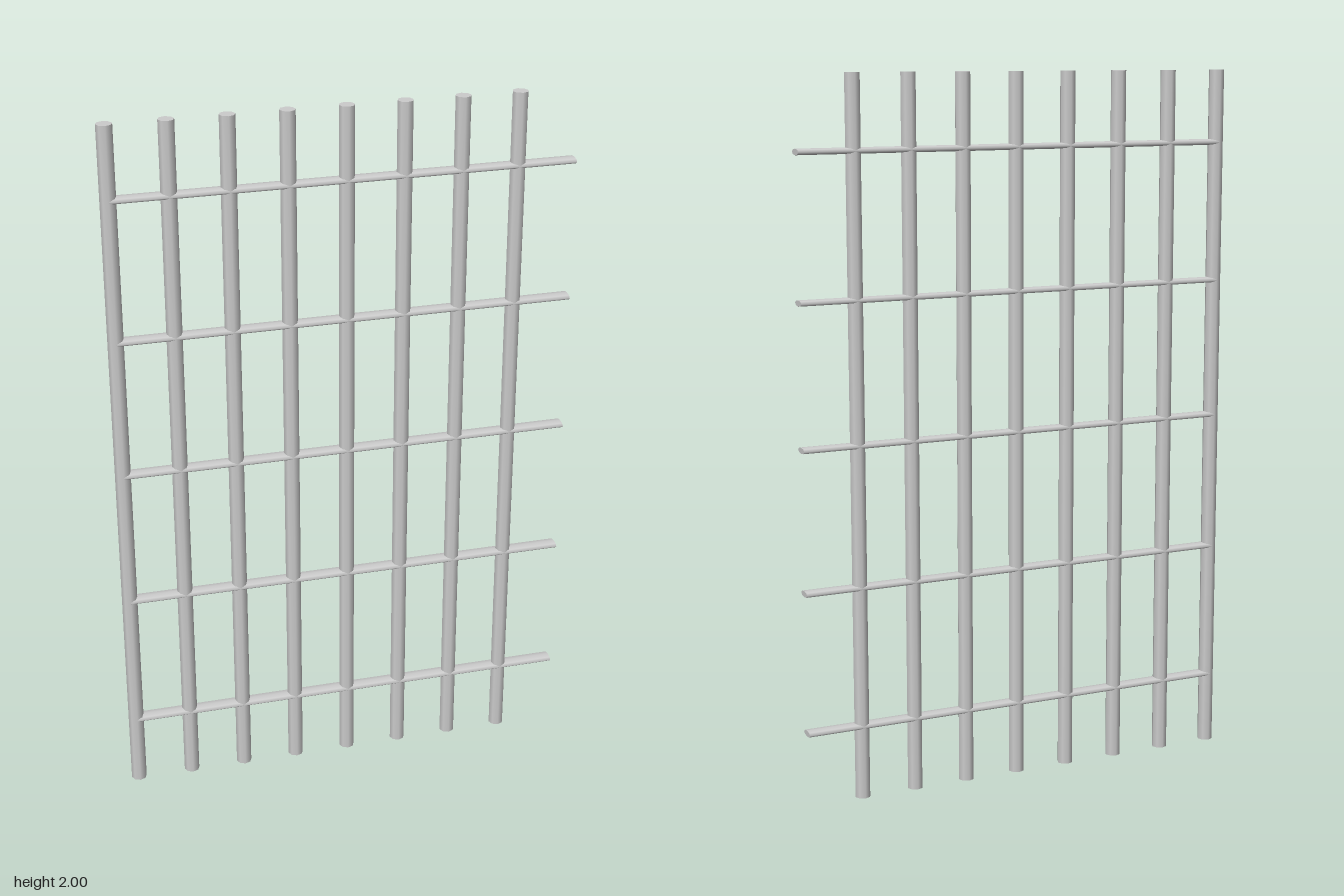
import * as THREE from 'three';

export function createModel() {
  const group = new THREE.Group();
  group.name = 'barredGrate';
  const material = new THREE.MeshStandardMaterial({ color: 0xcccccc });

  // Upright round bars, evenly spaced from the left end
  const barGeometry = new THREE.CylinderGeometry(0.022, 0.022, 2, 8);
  for (let i = 0; i < 8; i++) {
    const bar = new THREE.Mesh(barGeometry, material);
    bar.name = `verticalBar${i + 1}`;
    bar.position.set(-0.627 + i * 0.159, 1, 0);
    group.add(bar);
  }

  // Flattened cross rails, running past the last upright
  const railGeometry = new THREE.CylinderGeometry(0.024, 0.024, 1.275, 8);
  railGeometry.rotateZ(Math.PI / 2);
  railGeometry.scale(1, 0.36, 1);
  for (let i = 0; i < 5; i++) {
    const rail = new THREE.Mesh(railGeometry, material);
    rail.name = `crossRail${i + 1}`;
    rail.position.set(0.01, 0.208 + i * 0.397, 0);
    group.add(rail);
  }

  return group;
}
